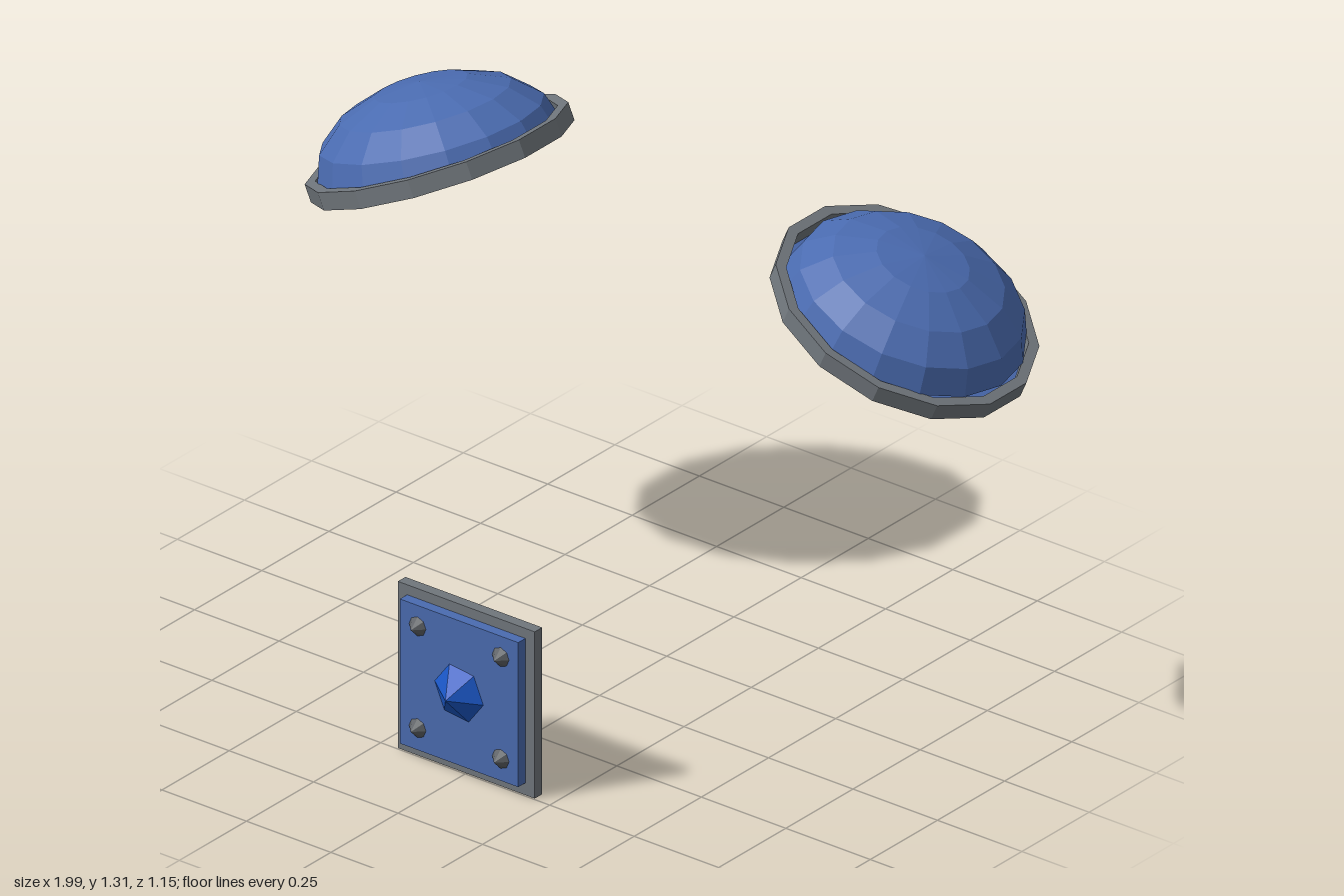
import * as THREE from 'three';

const paint = (color) => new THREE.MeshStandardMaterial({ color, flatShading: true, side: THREE.DoubleSide });

export function createModel() {
  const model = new THREE.Group();
  const metal = paint(0x70767c), blue = paint(0x4a6bb0), gemBlue = paint(0x1a56c4), dark = paint(0x5c6064);

  const add = (parent, name, geometry, material, x = 0, y = 0, z = 0) => {
    const mesh = new THREE.Mesh(geometry, material);
    mesh.name = name;
    mesh.position.set(x, y, z);
    parent.add(mesh);
    return mesh;
  };

  // Shoulder pads: an oval metal rim, a shallow dome and a closed underside
  const rimProfile = [[0.92, -0.0225], [1, -0.0225], [1, 0.0225], [0.92, 0.0225], [0.92, -0.0225]]
    .map(([r, y]) => new THREE.Vector2(r, y));

  for (const [side, label, x, y] of [[1, 'left', 0.686, 1.116], [-1, 'right', -0.69, 1.084]]) {
    const pad = new THREE.Group();
    pad.name = label + 'ShoulderPad';
    pad.position.set(x, y, -0.272);
    pad.rotation.z = -side * THREE.MathUtils.degToRad(24.2);
    model.add(pad);

    add(pad, 'rim', new THREE.LatheGeometry(rimProfile, 14).scale(0.335, 1, 0.305), metal);

    const dome = add(pad, 'dome', new THREE.SphereGeometry(1, 16, 4, 0, Math.PI * 2, 0, Math.PI / 2)
      .scale(0.303, 0.174, 0.282), blue, 0, 0.003, 0);
    dome.rotation.z = side * THREE.MathUtils.degToRad(4.5);

    add(pad, 'underside', new THREE.CylinderGeometry(0.935, 0.935, 0.004, 14)
      .scale(0.335, 1, 0.305), blue, 0, -0.018, 0);
  }

  // Belt buckle: metal backing, blue panel, faceted gem and corner studs
  const buckle = new THREE.Group();
  buckle.name = 'buckle';
  buckle.position.set(0, 0.218, 0);
  model.add(buckle);
  add(buckle, 'backPlate', new THREE.BoxGeometry(0.405, 0.436, 0.028), metal, 0, 0, 0.482);
  add(buckle, 'frontPanel', new THREE.BoxGeometry(0.35, 0.378, 0.028), blue, 0, 0.003, 0.509);

  // Cone whose tip points forward, with a corner at the given angle
  const point = (radius, height, sides, angle) =>
    new THREE.ConeGeometry(radius, height, sides).rotateX(Math.PI / 2).rotateZ(Math.PI / 2 + angle);

  add(buckle, 'gem', point(0.074, 0.052, 6, -0.12), gemBlue, 0, 0.003, 0.548);
  for (const x of [-0.123, 0.123]) for (const y of [-0.129, 0.137])
    add(buckle, 'stud', point(0.026, 0.026, 8, 0), dark, x, y, 0.535);

  return model;
}
